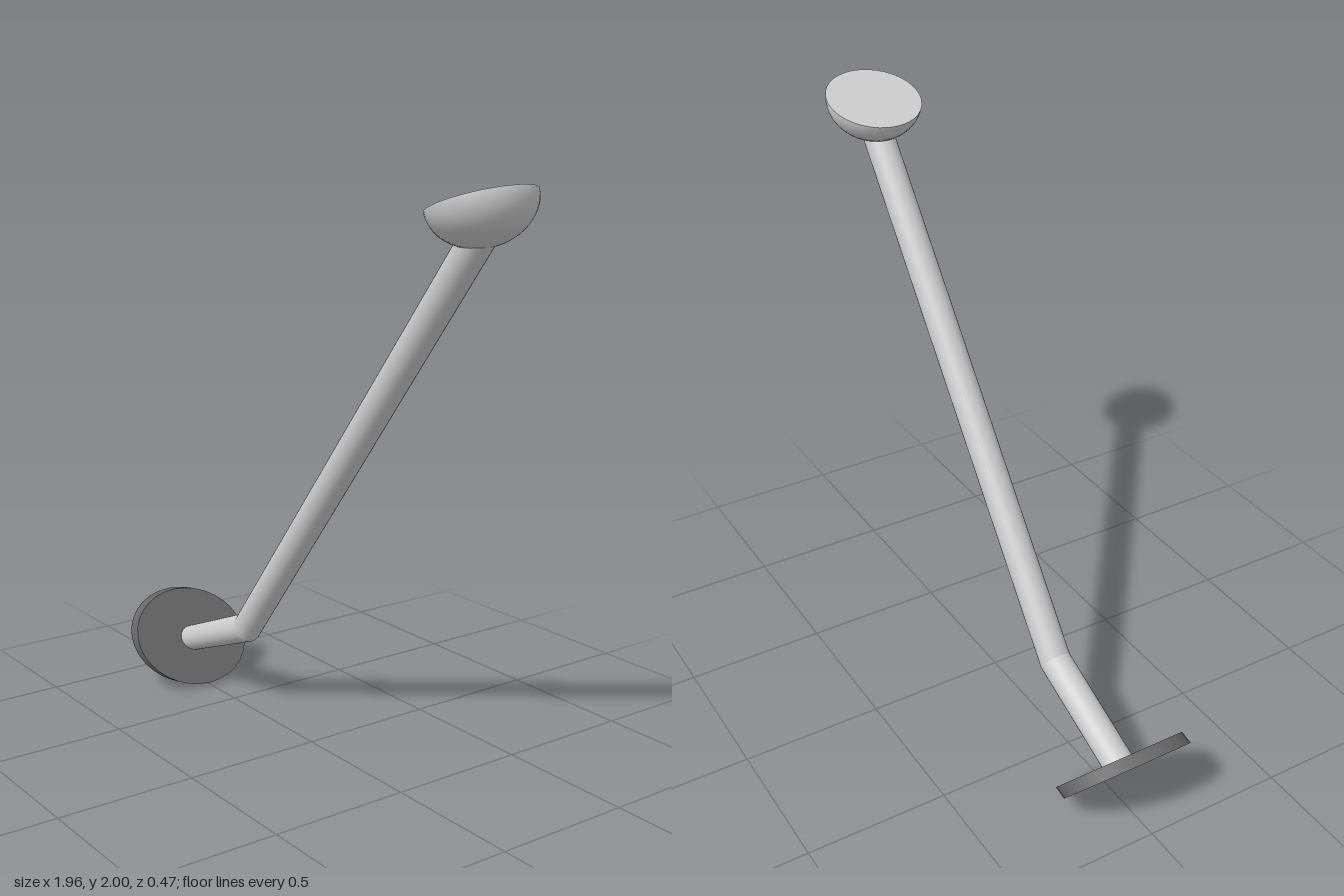
import * as THREE from 'three';

const grey = new THREE.MeshStandardMaterial({ color: 0xcccccc, side: THREE.DoubleSide });
const dark = new THREE.MeshStandardMaterial({ color: 0x666666 });
const RADIUS = 0.055;
const Z = -0.005;

// Round pipe between two points in the xy plane; rimA and rimB are the in-plane
// half-widths of its end cuts, so each end can be mitred.
function pipe(name, a, rimA, b, rimB) {
  const geo = new THREE.CylinderGeometry(1, 1, 1, 28, 1, true);
  const pos = geo.attributes.position;
  const side = b.clone().sub(a).normalize();
  side.set(side.y, -side.x);
  for (let i = 0; i < pos.count; i++) {
    const top = pos.getY(i) > 0;
    const c = pos.getX(i), s = pos.getZ(i);
    const p = (top ? b : a).clone().addScaledVector(top ? rimB : rimA, c);
    pos.setXYZ(i, p.x, p.y, Z + s * RADIUS);
    geo.attributes.normal.setXYZ(i, side.x * c, side.y * c, s);
  }
  const mesh = new THREE.Mesh(geo, grey);
  mesh.name = name;
  return mesh;
}

export function createModel() {
  const group = new THREE.Group();
  const v = (x, y) => new THREE.Vector2(x, y);

  // Slanted oval mounting plate, sheared so its rim runs nearly level
  const plateGeo = new THREE.CylinderGeometry(1, 1, 1, 32);
  plateGeo.applyMatrix4(new THREE.Matrix4().makeBasis(
    new THREE.Vector3(0.131, -0.156, 0),
    new THREE.Vector3(0.049, 0.009, 0),
    new THREE.Vector3(0, 0, 0.233),
  ).setPosition(-0.825, 0.161, 0));
  const plate = new THREE.Mesh(plateGeo, dark);
  plate.name = 'mountingPlate';
  group.add(plate);

  // Short and long pipes meeting at a mitred elbow
  const elbow = v(-0.413, 0.31);
  const mitre = v(0.031, -0.046);
  group.add(pipe('shortArm', v(-0.795, 0.157), v(0.035, -0.039), elbow, mitre));
  group.add(pipe('longArm', elbow, mitre, v(0.83, 1.875), v(0.041, -0.033)));

  // Shallow half-dome with a flat closed face, tilted toward the plate
  const head = new THREE.Group();
  head.name = 'head';
  const dome = new THREE.Mesh(
    new THREE.SphereGeometry(0.168, 36, 14, 0, Math.PI * 2, Math.PI / 2, Math.PI / 2), grey);
  dome.name = 'headDome';
  dome.scale.y = 0.81;
  const face = new THREE.Mesh(new THREE.CircleGeometry(0.168, 36), grey);
  face.name = 'headFace';
  face.rotation.x = -Math.PI / 2;
  head.add(dome, face);
  head.position.set(0.81, 1.947, Z);
  head.rotation.z = 0.318;
  group.add(head);

  return group;
}
